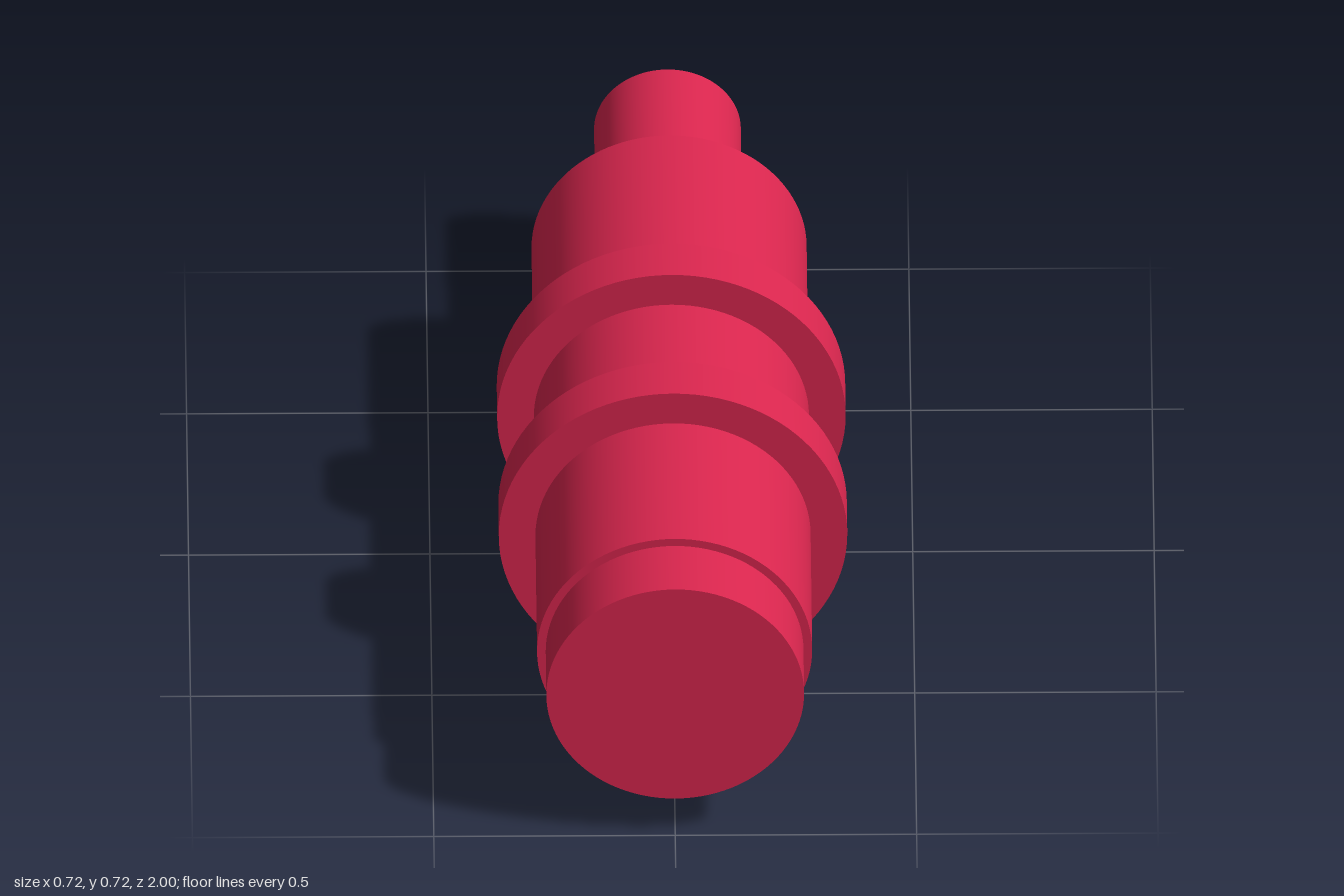
import * as THREE from 'three';

const SEGMENTS = 96;
const AXIS_HEIGHT = 0.361;

export function createModel() {
  const red = new THREE.MeshStandardMaterial({ color: 0xd9264e });
  red.name = 'crimson red';
  const model = new THREE.Group();
  model.name = 'steppedShaft';

  // One turned section along z: a wall plus the end faces left exposed.
  // backInner / frontInner is the radius covered by the neighbour (null = no face).
  function section(name, radius, zBack, zFront, backInner = null, frontInner = null) {
    const group = new THREE.Group();
    group.name = name;
    const add = (part, geometry) => {
      const mesh = new THREE.Mesh(geometry, red);
      mesh.name = name + part;
      group.add(mesh);
    };
    const wall = new THREE.CylinderGeometry(radius, radius, zFront - zBack, SEGMENTS, 1, true);
    add('Wall', wall.rotateX(Math.PI / 2).rotateZ(Math.PI / 2).translate(0, 0, (zBack + zFront) / 2));

    const face = (inner) => inner > 0
      ? new THREE.RingGeometry(inner, radius, SEGMENTS)
      : new THREE.CircleGeometry(radius, SEGMENTS);
    if (frontInner !== null) add('FrontFace', face(frontInner).translate(0, 0, zFront));
    if (backInner !== null) add('BackFace', face(backInner).rotateY(Math.PI).translate(0, 0, zBack));

    group.position.y = AXIS_HEIGHT;
    model.add(group);
  }

  const shaft = 0.152, body = 0.285, nose = 0.267, flange = 0.361;

  // Narrow rear shaft
  section('rearShaft', shaft, -1, -0.582, 0);
  // Main barrel, interrupted by the two flanges
  section('rearBody', body, -0.582, -0.094, shaft);
  section('middleBody', body, 0.017, 0.325);
  section('frontBody', body, 0.437, 0.846, null, nose);
  // Flanges
  section('rearFlange', flange, -0.094, 0.017, body, body);
  section('frontFlange', flange, 0.325, 0.437, body, body);
  // Slightly reduced front end
  section('frontNose', nose, 0.846, 1, null, 0);

  return model;
}
